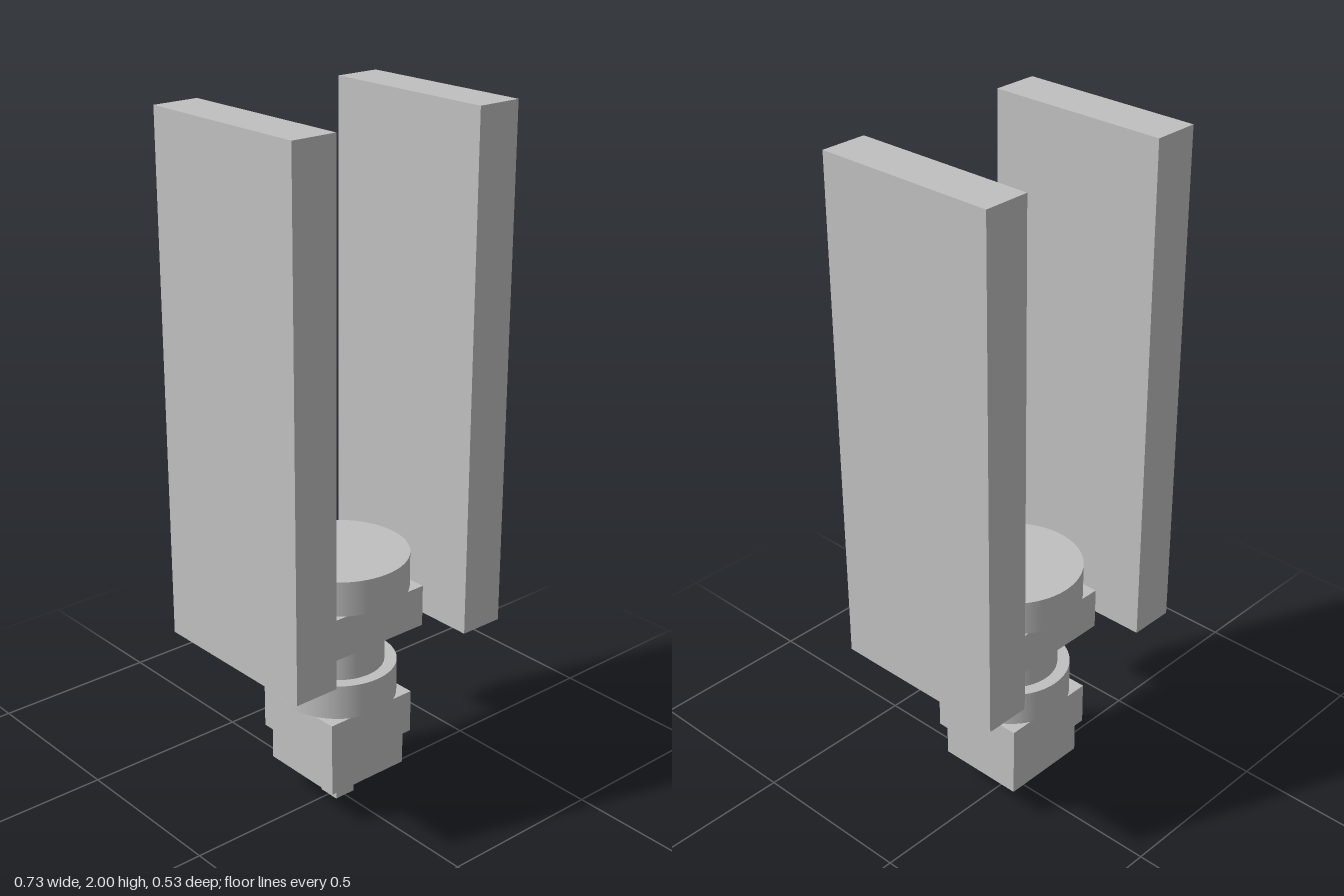
import * as THREE from 'three';

export function createModel() {
  const model = new THREE.Group();
  const grey = new THREE.MeshStandardMaterial({ color: 0xc0c0c0 });
  grey.name = 'light grey';

  const add = (name, geometry, x, y) => {
    const mesh = new THREE.Mesh(geometry, grey);
    mesh.name = name;
    mesh.position.set(x, y, 0);
    model.add(mesh);
  };

  // Central stack from the tip up: name, shape, half width, bottom, top
  const stack = [
    ['tip', 'box', 0.033, 0, 0.07],
    ['tipCollar', 'box', 0.067, 0.07, 0.105],
    ['lowerBlock', 'box', 0.132, 0.105, 0.21],
    ['middleBlock', 'box', 0.147, 0.21, 0.338],
    ['lowerDisc', 'disc', 0.167, 0.338, 0.44],
    ['neck', 'disc', 0.132, 0.44, 0.551],
    ['upperBlock', 'box', 0.167, 0.551, 0.672],
    ['topDisc', 'disc', 0.2, 0.672, 0.773],
  ];
  for (const [name, shape, r, bottom, top] of stack) {
    const h = top - bottom;
    const geometry = shape === 'box'
      ? new THREE.BoxGeometry(2 * r, h, 2 * r)
      : new THREE.CylinderGeometry(r, r, h, 64);
    add(name, geometry, 0, (bottom + top) / 2);
  }

  // Tall free-standing side panels
  for (const [name, side] of [['leftPanel', 1], ['rightPanel', -1]]) {
    add(name, new THREE.BoxGeometry(0.133, 1.46, 0.533), side * 0.3, 1.27);
  }

  return model;
}
